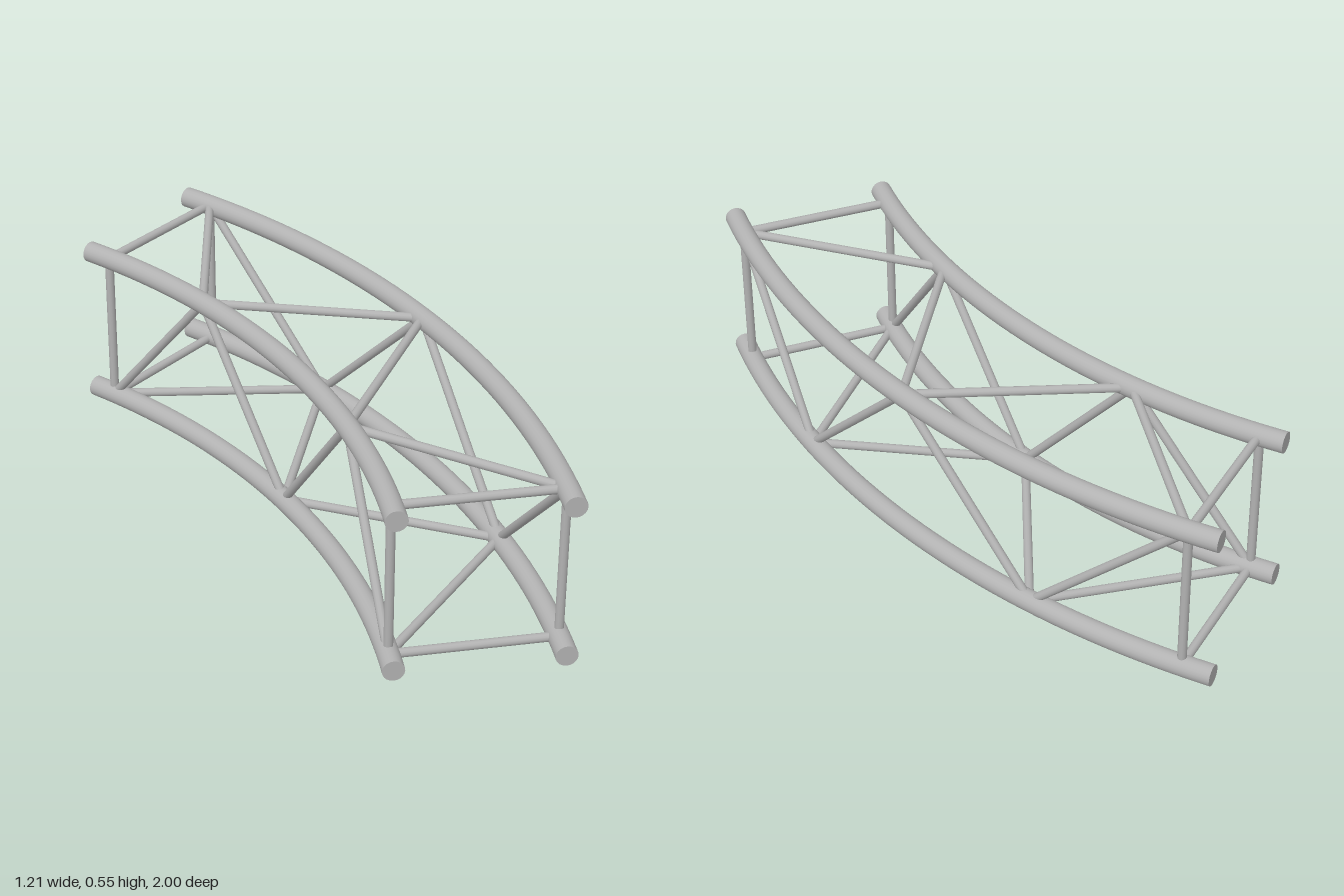
import * as THREE from 'three';
import { mergeGeometries } from 'three/addons/utils/BufferGeometryUtils.js';

const CX = -2.2235, CZ = 1;              // centre of the bend
const R_IN = 2.319, R_OUT = 2.797;       // chord bend radii
const Y_LOW = 0.032, Y_HIGH = 0.513;     // chord heights
const CHORD_R = 0.032, BRACE_R = 0.0135;
const ARC = Math.PI / 4;

// Point on a chord axis at an angle along the bend
function onChord(radius, y, angle) {
  return new THREE.Vector3(CX + radius * Math.cos(angle), y, CZ - radius * Math.sin(angle));
}

// Curved main tube with flat end caps
function chordGeometry(radius, y) {
  const tube = new THREE.TorusGeometry(radius, CHORD_R, 20, 40, ARC);
  tube.rotateX(-Math.PI / 2);
  tube.translate(CX, y, CZ);
  const caps = [0, ARC].map((angle) => {
    const cap = new THREE.CircleGeometry(CHORD_R, 20);
    cap.rotateY(angle === 0 ? 0 : Math.PI + angle);
    const p = onChord(radius, y, angle);
    return cap.translate(p.x, p.y, p.z);
  });
  return mergeGeometries([tube, ...caps]);
}

// Straight thin tube between two points
function braceMesh(a, b, material, name) {
  const dir = b.clone().sub(a);
  const mesh = new THREE.Mesh(
    new THREE.CylinderGeometry(BRACE_R, BRACE_R, dir.length(), 12), material);
  mesh.position.copy(a).add(b).multiplyScalar(0.5);
  mesh.quaternion.setFromUnitVectors(new THREE.Vector3(0, 1, 0), dir.normalize());
  mesh.name = name;
  return mesh;
}

export function createModel() {
  const model = new THREE.Group();
  model.name = 'curvedTruss';
  const metal = new THREE.MeshStandardMaterial({ color: 0xb2b2b2 });
  metal.name = 'aluminium';

  const chords = {
    innerLow: [R_IN, Y_LOW],
    innerHigh: [R_IN, Y_HIGH],
    outerLow: [R_OUT, Y_LOW],
    outerHigh: [R_OUT, Y_HIGH],
  };
  for (const [name, [radius, y]] of Object.entries(chords)) {
    const chord = new THREE.Mesh(chordGeometry(radius, y), metal);
    chord.name = name + 'Chord';
    model.add(chord);
  }

  // Five evenly spaced joints along the bend
  const first = THREE.MathUtils.degToRad(1.95);
  const joint = (chord, i) => onChord(...chords[chord], first + (i * (ARC - 2 * first)) / 4);

  // Each side has a zigzag between two chords and a strut at both ends
  const sides = {
    top: ['outerHigh', 'innerHigh'],
    bottom: ['innerLow', 'outerLow'],
    outer: ['outerHigh', 'outerLow'],
    inner: ['innerLow', 'innerHigh'],
  };
  for (const [side, pair] of Object.entries(sides)) {
    const group = new THREE.Group();
    group.name = side + 'Bracing';
    for (let i = 0; i < 4; i++) {
      group.add(braceMesh(joint(pair[i % 2], i), joint(pair[(i + 1) % 2], i + 1), metal, 'diagonal'));
    }
    for (const i of [0, 4]) {
      group.add(braceMesh(joint(pair[0], i), joint(pair[1], i), metal, 'endStrut'));
    }
    model.add(group);
  }
  return model;
}
